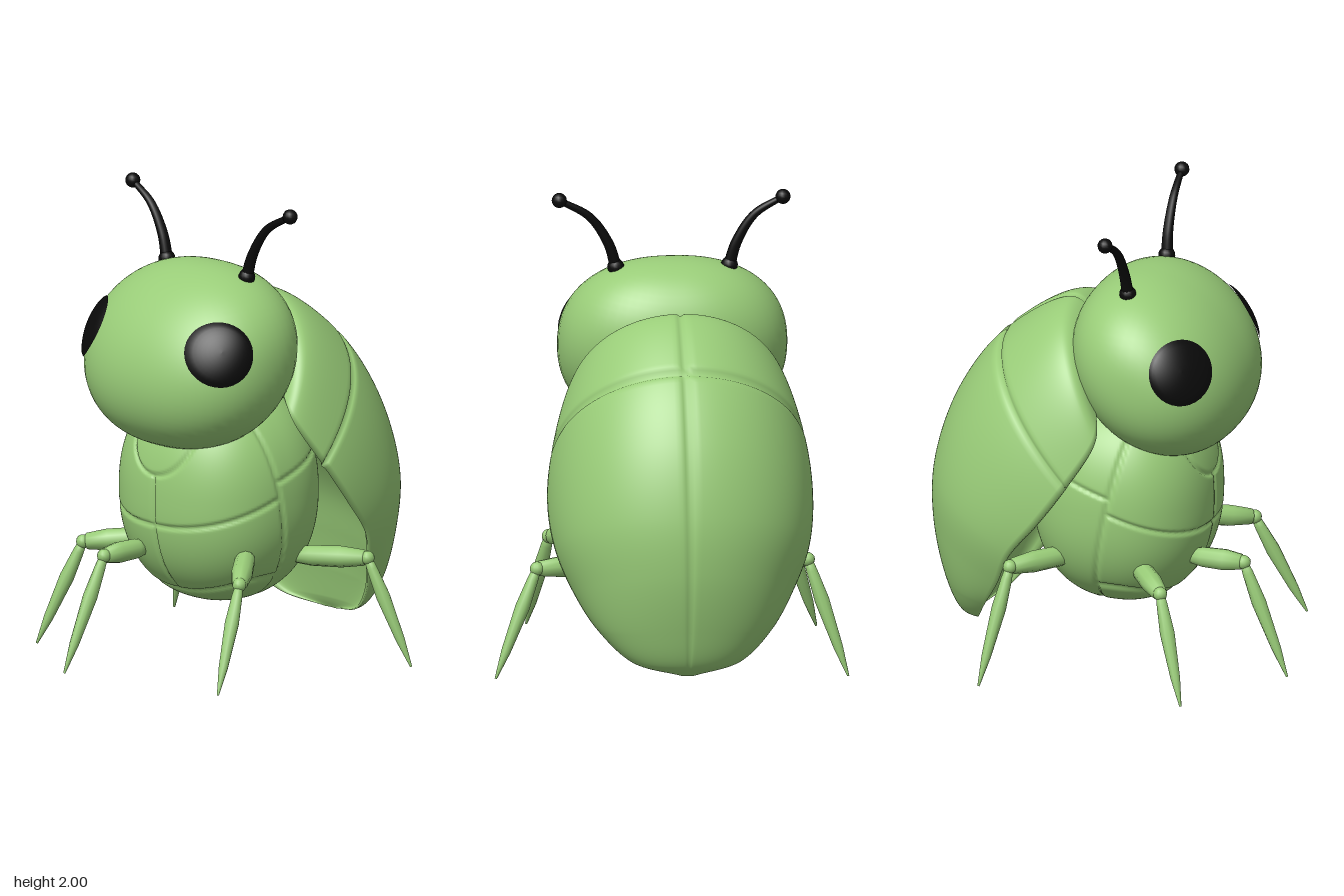
import * as THREE from 'three';
import { mergeVertices } from 'three/addons/utils/BufferGeometryUtils.js';

const V = (x, y, z) => new THREE.Vector3(x, y, z);
const green = new THREE.MeshStandardMaterial({ color: 0x99cc78 });
green.name = 'leaf green';
const black = new THREE.MeshStandardMaterial({ color: 0x0a0a0a });
black.name = 'black';

const MID = -0.05; // the body's mirror plane
const bell = (d, w) => Math.exp(-((d / w) ** 2));

function add(parent, name, geometry, material) {
  const mesh = new THREE.Mesh(geometry, material);
  mesh.name = name;
  parent.add(mesh);
  return mesh;
}

// Sphere whose vertices are moved out to radius(direction) around a centre
function radialSolid(centre, radius, across, down) {
  let geo = new THREE.SphereGeometry(1, across, down);
  geo.deleteAttribute('uv');
  geo.deleteAttribute('normal');
  geo = mergeVertices(geo);
  const pos = geo.attributes.position;
  const d = V();
  for (let i = 0; i < pos.count; i++) {
    d.fromBufferAttribute(pos, i).normalize();
    d.multiplyScalar(radius(d)).add(centre);
    pos.setXYZ(i, d.x, d.y, d.z);
  }
  geo.computeVertexNormals();
  return geo;
}

// Head: rounded ellipsoid, its long axis leaning back
const headCentre = V(MID + 0.005, 1.315, 0.21);
function headRadius(d) {
  const long = (0.766 * d.y - 0.643 * d.z) / 0.42;
  const short = (0.643 * d.y + 0.766 * d.z) / 0.335;
  const p = 2.3;
  return (Math.hypot(long, short) ** p + Math.abs(d.x / 0.485) ** p) ** (-1 / p);
}

// Eye: round patch that follows the head, slightly domed
function eyeGeometry(side) {
  const middle = V(side * 0.36, 0.093, 0.19);
  const normal = V(side * 0.68, 0.15, 0.68).normalize();
  const u = V(0, 1, 0).cross(normal).normalize();
  const v = normal.clone().cross(u);
  const rings = 8, around = 36, pts = [], idx = [];
  for (let r = 0; r <= rings; r++) {
    for (let k = 0; k < around; k++) {
      const f = r / rings, a = (k / around) * Math.PI * 2;
      const d = middle.clone()
        .addScaledVector(u, 0.145 * f * Math.cos(a))
        .addScaledVector(v, 0.135 * f * Math.sin(a)).normalize();
      const lift = 0.003 + 0.016 * Math.sqrt(1 - f * f);
      d.multiplyScalar(headRadius(d) + lift).add(headCentre);
      pts.push(d.x, d.y, d.z);
      if (r < rings) {
        const p = r * around + k, q = r * around + ((k + 1) % around);
        idx.push(p, p + around, q, q, p + around, q + around);
      }
    }
  }
  const geo = new THREE.BufferGeometry();
  geo.setAttribute('position', new THREE.Float32BufferAttribute(pts, 3));
  geo.setIndex(idx);
  geo.computeVertexNormals();
  return geo;
}

// Body: rounded belly with fine grooves between its plates
const bodyCentre = V(MID, 0.71, 0.04);
function bodyRadius(d) {
  const p = 2.25;
  const r = (Math.abs(d.x / 0.42) ** p + Math.abs(d.y / 0.48) ** p + Math.abs(d.z / 0.39) ** p) ** (-1 / p);
  const x = d.x * r, y = d.y * r + bodyCentre.y, z = d.z * r + bodyCentre.z;
  const flank = z - 0.02 - 0.2 * (y - 0.4);
  const collar = Math.hypot(x, y - 0.99) - 0.17;
  let g = bell(flank, 0.009);
  if (flank > 0) {
    g = Math.max(g, bell(y - 0.6 - 0.39 * (0.43 - z), 0.009));
    if (collar > 0 && y > 0.3) g = Math.max(g, bell(x, 0.008));
    if (z > 0.2) g = Math.max(g, bell(collar, 0.008));
    g = Math.max(g, bell(y - 0.3 - 0.7 * x * x, 0.009));
  } else {
    g = Math.max(g, bell(y - 0.83 + 0.3 * z, 0.009));
  }
  return r - 0.012 * g;
}

// Wing case: cross-sections from a rim point to a spine point, with half width
function wingCaseGeometry() {
  const stations = [ // rim z, rim y, spine z, spine y, half width
    [0.02, 1.2, -0.1, 1.48, 0.36], [0.06, 1.08, -0.21, 1.54, 0.46],
    [-0.05, 0.87, -0.5, 1.36, 0.54], [-0.17, 0.7, -0.69, 1.1, 0.56],
    [-0.3, 0.54, -0.79, 0.8, 0.535], [-0.38, 0.38, -0.8, 0.55, 0.465],
    [-0.47, 0.24, -0.75, 0.29, 0.37], [-0.55, 0.12, -0.69, 0.13, 0.23],
    [-0.62, 0.075, -0.63, 0.075, 0.03],
  ];
  const rim = new THREE.CatmullRomCurve3(stations.map(s => V(s[4], s[1], s[0])));
  const spine = new THREE.CatmullRomCurve3(stations.map(s => V(0, s[3], s[2])));
  const steps = 160, outer = 96, inner = 24, ring = outer + inner;
  const pts = [], idx = [];
  for (let i = 0; i <= steps; i++) {
    const t = i / steps, e = rim.getPoint(t), s = spine.getPoint(t);
    for (let j = 0; j < ring; j++) {
      const out = j <= outer;
      const a = out ? (j / outer - 0.5) * Math.PI : (0.5 - (j - outer) / inner) * Math.PI;
      const groove = out ? Math.max(bell(a, 0.025), bell(t - 0.25, 0.005)) : 0;
      const k = out ? 1 - 0.03 * groove : 0.35;
      const c = k * Math.max(Math.cos(a), 0) ** 0.9;
      const w = e.x * (out ? k : 0.94);
      pts.push(MID + w * Math.sin(a), e.y + (s.y - e.y) * c, e.z + (s.z - e.z) * c);
      if (i < steps) {
        const p = i * ring + j, q = i * ring + ((j + 1) % ring);
        idx.push(p, q, p + ring, q, q + ring, p + ring);
      }
    }
  }
  const geo = new THREE.BufferGeometry();
  geo.setAttribute('position', new THREE.Float32BufferAttribute(pts, 3));
  geo.setIndex(idx);
  geo.computeVertexNormals();
  return geo;
}

// Turned limb between two points; profile gives [radius, share of length]
function limb(parent, name, from, to, radius, profile, material) {
  const span = to.clone().sub(from), length = span.length();
  const geo = new THREE.LatheGeometry(profile.map(([r, h]) => new THREE.Vector2(r * radius, h * length)), 10);
  const mesh = add(parent, name, geo, material);
  mesh.position.copy(from);
  mesh.quaternion.setFromUnitVectors(V(0, 1, 0), span.normalize());
}
const THIGH = [[0, 0], [0.7, 0.02], [0.95, 0.25], [1, 0.65], [0.75, 0.95], [0, 1]];
const SHIN = [[0, 0], [0.6, 0.02], [0.75, 0.1], [1, 0.35], [0.65, 0.75], [0.15, 1], [0, 1]];

function makeLeg(name, hip, knee, foot) {
  const leg = new THREE.Group();
  leg.name = name;
  limb(leg, 'thigh', hip, knee, 0.046, THIGH, green);
  limb(leg, 'shin', knee, foot, 0.031, SHIN, green);
  add(leg, 'knee', new THREE.SphereGeometry(0.03, 12, 8), green).position.copy(knee);
  return leg;
}

// Feeler: curved rod tapering to a ball
function makeAntenna(name, path) {
  const antenna = new THREE.Group();
  antenna.name = name;
  const curve = new THREE.CatmullRomCurve3(path);
  const segments = 20, sides = 10;
  const rod = new THREE.TubeGeometry(curve, segments, 1, sides);
  const pos = rod.attributes.position, p = V();
  for (let i = 0; i < pos.count; i++) {
    const t = Math.floor(i / (sides + 1)) / segments;
    const c = curve.getPointAt(t);
    p.fromBufferAttribute(pos, i).sub(c).multiplyScalar(0.026 - 0.013 * t).add(c);
    pos.setXYZ(i, p.x, p.y, p.z);
  }
  add(antenna, 'rod', rod, black);
  add(antenna, 'socket', new THREE.SphereGeometry(0.036, 14, 10), black).position.copy(path[0]);
  add(antenna, 'tip', new THREE.SphereGeometry(0.032, 14, 10), black).position.copy(path[path.length - 1]);
  return antenna;
}

export function createModel() {
  const bug = new THREE.Group();
  bug.name = 'beetle';
  add(bug, 'head', radialSolid(headCentre, headRadius, 64, 44), green);
  add(bug, 'leftEye', eyeGeometry(1), black);
  add(bug, 'rightEye', eyeGeometry(-1), black);
  add(bug, 'body', radialSolid(bodyCentre, bodyRadius, 220, 150), green);
  add(bug, 'wingCase', wingCaseGeometry(), green);

  bug.add(makeAntenna('leftAntenna', [V(0.2, 1.67, 0.12), V(0.23, 1.77, 0.115), V(0.31, 1.89, 0.11), V(0.44, 1.967, 0.1)]));
  bug.add(makeAntenna('rightAntenna', [V(-0.28, 1.67, 0.12), V(-0.31, 1.77, 0.115), V(-0.385, 1.89, 0.11), V(-0.505, 1.967, 0.1)]));

  bug.add(makeLeg('leftFrontLeg', V(0.25, 0.49, 0.17), V(0.46, 0.43, 0.42), V(0.54, 0, 0.625)));
  bug.add(makeLeg('leftRearLeg', V(0.25, 0.44, -0.1), V(0.56, 0.455, -0.24), V(0.74, 0, -0.32)));
  bug.add(makeLeg('rightRearLeg', V(-0.3, 0.48, -0.1), V(-0.58, 0.49, -0.3), V(-0.745, 0, -0.38)));
  bug.add(makeLeg('rightMiddleLeg', V(-0.31, 0.47, 0.17), V(-0.54, 0.44, 0.36), V(-0.675, 0, 0.5)));
  bug.add(makeLeg('rightFrontLeg', V(-0.17, 0.48, 0.36), V(-0.17, 0.48, 0.6), V(-0.2, 0, 0.805)));
  return bug;
}
